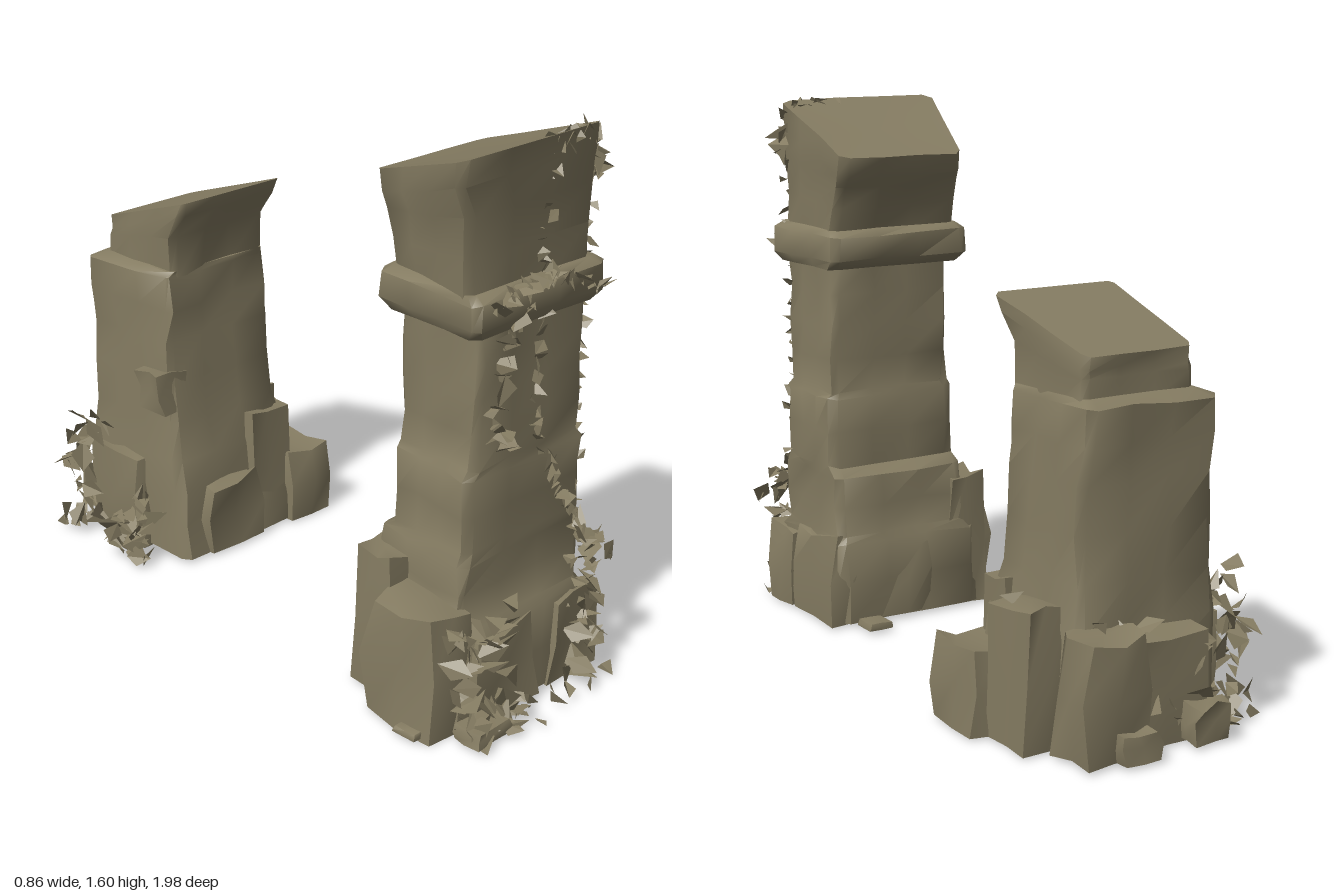
import * as THREE from 'three';
import { toCreasedNormals, mergeGeometries } from 'three/addons/utils/BufferGeometryUtils.js';

const stone = new THREE.MeshStandardMaterial({ color: 0x857c62, side: THREE.DoubleSide });
stone.name = 'weathered stone';

let seed = 7;
const rand = () => (seed = (seed * 16807) % 2147483647) / 2147483647;
const spread = (r) => (rand() * 2 - 1) * r;

// Adds in-between rings to long stretches so the stone can be uneven.
function refine(sections) {
  const out = [sections[0]];
  for (let k = 1; k < sections.length; k++) {
    const a = sections[k - 1], b = sections[k];
    const n = Math.max(1, Math.round((b[0] - a[0]) / 0.11));
    for (let s = 1; s <= n; s++) out.push(a.map((v, i) => v + (b[i] - v) * s / n));
  }
  return out;
}

// Section: [y, front x0, front x1, back x0, back x1, front z, back z, slope of y along z]
function pillarGeometry(sections, rough, dent = 0) {
  const rings = refine(sections), pos = [], idx = [], N = 16;
  rings.forEach(([y, fx0, fx1, bx0, bx1, zf, zb, slope], r) => {
    const corners = [[bx1, zb], [fx1, zf], [fx0, zf], [bx0, zb]];
    const end = r === 0 || r === rings.length - 1;
    corners.forEach((c, k) => {
      const d = corners[(k + 1) % 4];
      for (const t of [0.05, 0.36, 0.66, 0.95]) {
        const x = c[0] + (d[0] - c[0]) * t + spread(rough);
        const z = c[1] + (d[1] - c[1]) * t + spread(rough);
        pos.push(x, y + slope * (z - (zf + zb) / 2) + (end ? 0 : spread(rough * 0.7)), z);
      }
    });
  });
  for (let r = 0; r < rings.length - 1; r++) {
    for (let i = 0; i < N; i++) {
      const a = r * N + i, b = r * N + (i + 1) % N;
      idx.push(a, a + N, b, b, a + N, b + N);
    }
  }
  // Closed ends, the top one worn hollow by the dent
  for (const [r, up] of [[0, false], [rings.length - 1, true]]) {
    const [y, fx0, fx1, bx0, bx1, zf, zb] = rings[r];
    const c = pos.length / 3;
    pos.push((fx0 + fx1 + bx0 + bx1) / 4, up ? y - dent : y, (zf + zb) / 2);
    for (let i = 0; i < N; i++) {
      const a = r * N + i, b = r * N + (i + 1) % N;
      idx.push(c, up ? b : a, up ? a : b);
    }
  }
  const g = new THREE.BufferGeometry();
  g.setAttribute('position', new THREE.Float32BufferAttribute(pos, 3));
  g.setIndex(idx);
  return toCreasedNormals(g, 0.9);
}

// A broken block: a box with worn upper corners and uneven faces.
function blockGeometry([x, y, z, w, h, d]) {
  const g = new THREE.BoxGeometry(w, h, d, 2, 2, 2), p = g.attributes.position, moved = {};
  const uneven = Math.min(0.015, Math.min(w, h, d) * 0.15);
  for (let i = 0; i < p.count; i++) {
    const v = new THREE.Vector3().fromBufferAttribute(p, i);
    const key = v.toArray().map((n) => n.toFixed(3)).join();
    moved[key] ??= [spread(uneven), v.y < -h * 0.4 ? 0 : spread(uneven), spread(uneven)];
    const m = moved[key];
    const taper = v.y > h * 0.4 ? 0.88 : 1;
    p.setXYZ(i, x + v.x * taper + m[0], y + v.y + m[1], z + v.z * taper + m[2]);
  }
  return toCreasedNormals(g, 1);
}

// A shard: one small folded sheet of two triangles.
function shardGeometry(x, y, z, size) {
  const s = size * (0.6 + rand() * 0.8);
  const q = [[-s, 0, 0], [0, spread(s * 0.5), s * 0.7], [s, spread(s), 0], [spread(s * 0.4), s * 0.4, -s * 0.7]];
  const g = new THREE.BufferGeometry();
  g.setAttribute('position', new THREE.Float32BufferAttribute([0, 1, 2, 0, 2, 3].flatMap((i) => q[i]), 3));
  g.rotateX(spread(3)).rotateY(spread(3)).rotateZ(spread(3)).translate(x, y, z);
  const p = g.attributes.position;
  for (let i = 0; i < p.count; i++) p.setY(i, Math.max(0.005, p.getY(i)));
  g.computeVertexNormals();
  return g;
}

// Shards scattered in a box; lower ones are more common and lie further out.
function heap(count, [x0, x1], [y0, y1], [z0, z1], size) {
  return Array.from({ length: count }, () => {
    const h = rand() ** 1.4, out = rand() * (1 - 0.6 * h);
    return shardGeometry(x0 + (x1 - x0) * rand(), y0 + (y1 - y0) * h, z0 + (z1 - z0) * out, size);
  });
}

// Shards strung along a crack.
function crack(points, count, size) {
  const line = new THREE.CatmullRomCurve3(points.map((p) => new THREE.Vector3(...p)));
  return Array.from({ length: count }, (_, i) => {
    const p = line.getPoint(i / (count - 1));
    return shardGeometry(p.x + spread(0.015), p.y + spread(0.01), p.z + spread(0.01), size);
  });
}

export function createModel() {
  const model = new THREE.Group();
  model.name = 'ruinedPillars';
  const add = (group, name, geometry) => {
    const mesh = new THREE.Mesh(geometry, stone);
    mesh.name = name;
    group.add(mesh);
  };

  // Tall front pillar
  const tall = new THREE.Group();
  tall.name = 'tallPillar';
  add(tall, 'tallShaft', pillarGeometry([
    [0.01, -0.33, 0.25, -0.26, 0.24, 0.84, 0.43, 0],
    [0.26, -0.30, 0.24, -0.24, 0.24, 0.83, 0.43, 0],
    [0.28, -0.27, 0.23, -0.22, 0.24, 0.81, 0.45, 0],
    [0.46, -0.25, 0.23, -0.21, 0.23, 0.80, 0.46, 0],
    [0.49, -0.24, 0.23, -0.20, 0.23, 0.80, 0.50, 0],
    [0.70, -0.23, 0.23, -0.20, 0.23, 0.80, 0.50, 0],
    [0.72, -0.21, 0.22, -0.19, 0.22, 0.80, 0.51, 0],
    [1.12, -0.21, 0.21, -0.19, 0.21, 0.80, 0.51, 0]], 0.008));
  add(tall, 'tallCollar', pillarGeometry([
    [1.10, -0.25, 0.23, -0.22, 0.23, 0.82, 0.49, 0],
    [1.13, -0.27, 0.25, -0.23, 0.24, 0.84, 0.46, 0],
    [1.20, -0.27, 0.24, -0.23, 0.24, 0.84, 0.46, 0],
    [1.22, -0.26, 0.22, -0.21, 0.23, 0.82, 0.49, 0]], 0.006));
  add(tall, 'tallCapital', pillarGeometry([
    [1.20, -0.26, 0.21, -0.20, 0.23, 0.81, 0.49, 0],
    [1.30, -0.27, 0.21, -0.20, 0.23, 0.81, 0.47, 0.08],
    [1.39, -0.28, 0.21, -0.19, 0.23, 0.82, 0.44, 0.2],
    [1.45, -0.33, 0.21, -0.18, 0.24, 0.83, 0.41, 0.33],
    [1.515, -0.34, 0.21, -0.17, 0.24, 0.84, 0.39, 0.33]], 0.006, 0.01));
  add(tall, 'tallBaseBlocks', mergeGeometries([
    [-0.30, 0.17, 0.70, 0.16, 0.34, 0.26], [-0.23, 0.21, 0.52, 0.15, 0.41, 0.16],
    [0.19, 0.14, 0.58, 0.14, 0.27, 0.28], [0.17, 0.13, 0.78, 0.20, 0.25, 0.14],
    [-0.12, 0.13, 0.80, 0.24, 0.24, 0.12], [0.02, 0.14, 0.50, 0.22, 0.25, 0.14],
    [0.16, 0.02, 0.37, 0.08, 0.02, 0.08], [-0.37, 0.02, 0.76, 0.10, 0.02, 0.08],
    [-0.26, 0.03, 0.90, 0.14, 0.04, 0.09]].map(blockGeometry)));
  add(tall, 'tallRubble', mergeGeometries([
    ...heap(55, [-0.34, -0.10], [0.01, 0.34], [0.84, 0.94], 0.036),
    ...heap(50, [0.12, 0.29], [0.01, 0.44], [0.81, 0.92], 0.036),
    ...heap(12, [-0.3, 0.22], [0.01, 0.05], [0.86, 0.97], 0.034)]));
  add(tall, 'tallCracks', mergeGeometries([
    ...crack([[0.02, 1.57, 0.83], [0.01, 1.3, 0.81], [0.02, 1.1, 0.81], [0.02, 0.85, 0.81],
      [0.10, 0.62, 0.80], [0.20, 0.46, 0.81], [0.27, 0.3, 0.82]], 50, 0.028),
    ...crack([[-0.05, 1.16, 0.83], [-0.11, 1.05, 0.81], [-0.15, 0.85, 0.81], [-0.09, 0.76, 0.81]], 22, 0.034),
    ...crack([[-0.20, 1.18, 0.85], [0, 1.22, 0.85], [0.23, 1.14, 0.85]], 26, 0.032),
    ...crack([[0.05, 1.56, 0.83], [0.2, 1.55, 0.80], [0.23, 1.42, 0.79]], 18, 0.036),
    ...crack([[0.21, 1.4, 0.79], [0.21, 1.1, 0.79], [0.21, 0.8, 0.79], [0.22, 0.5, 0.79]], 20, 0.026)]));
  model.add(tall);

  // Short back pillar
  const short = new THREE.Group();
  short.name = 'shortPillar';
  add(short, 'shortShaft', pillarGeometry([
    [0.01, -0.18, 0.33, -0.18, 0.29, -0.40, -0.85, 0],
    [0.32, -0.17, 0.28, -0.18, 0.27, -0.44, -0.84, 0],
    [0.44, -0.16, 0.25, -0.18, 0.26, -0.46, -0.83, 0],
    [0.70, -0.15, 0.24, -0.18, 0.25, -0.48, -0.83, 0],
    [0.90, -0.15, 0.24, -0.18, 0.24, -0.49, -0.84, 0],
    [0.92, -0.13, 0.24, -0.14, 0.22, -0.49, -0.80, 0]], 0.009));
  add(short, 'shortCapital', pillarGeometry([
    [0.90, -0.13, 0.23, -0.13, 0.22, -0.49, -0.79, 0],
    [1.00, -0.13, 0.23, -0.13, 0.22, -0.48, -0.79, 0.2],
    [1.05, -0.14, 0.25, -0.13, 0.22, -0.43, -0.79, 0.33],
    [1.09, -0.14, 0.25, -0.13, 0.22, -0.42, -0.79, 0.33]], 0.006));
  add(short, 'shortBaseBlocks', mergeGeometries([
    [0.34, 0.12, -0.49, 0.17, 0.23, 0.22], [0.31, 0.19, -0.69, 0.16, 0.37, 0.18],
    [0.22, 0.17, -0.88, 0.20, 0.32, 0.16], [0.02, 0.15, -0.84, 0.24, 0.30, 0.14],
    [0.20, 0.21, -0.48, 0.18, 0.38, 0.13], [0.02, 0.12, -0.44, 0.22, 0.22, 0.12],
    [-0.15, 0.15, -0.70, 0.12, 0.30, 0.24], [-0.15, 0.54, -0.53, 0.11, 0.12, 0.12],
    [-0.08, 0.06, -0.93, 0.11, 0.10, 0.09], [0.17, 0.05, -0.95, 0.12, 0.08, 0.08]].map(blockGeometry)));
  add(short, 'shortRubble', mergeGeometries([
    ...heap(45, [-0.30, -0.17], [0.01, 0.42], [-0.74, -0.93], 0.038),
    ...heap(26, [-0.33, -0.23], [0.01, 0.22], [-0.48, -0.64], 0.038),
    ...heap(26, [-0.14, 0.30], [0.01, 0.36], [-0.85, -0.95], 0.036),
    ...heap(14, [0.28, 0.36], [0.04, 0.42], [-0.55, -0.76], 0.03)]));
  model.add(short);
  return model;
}
